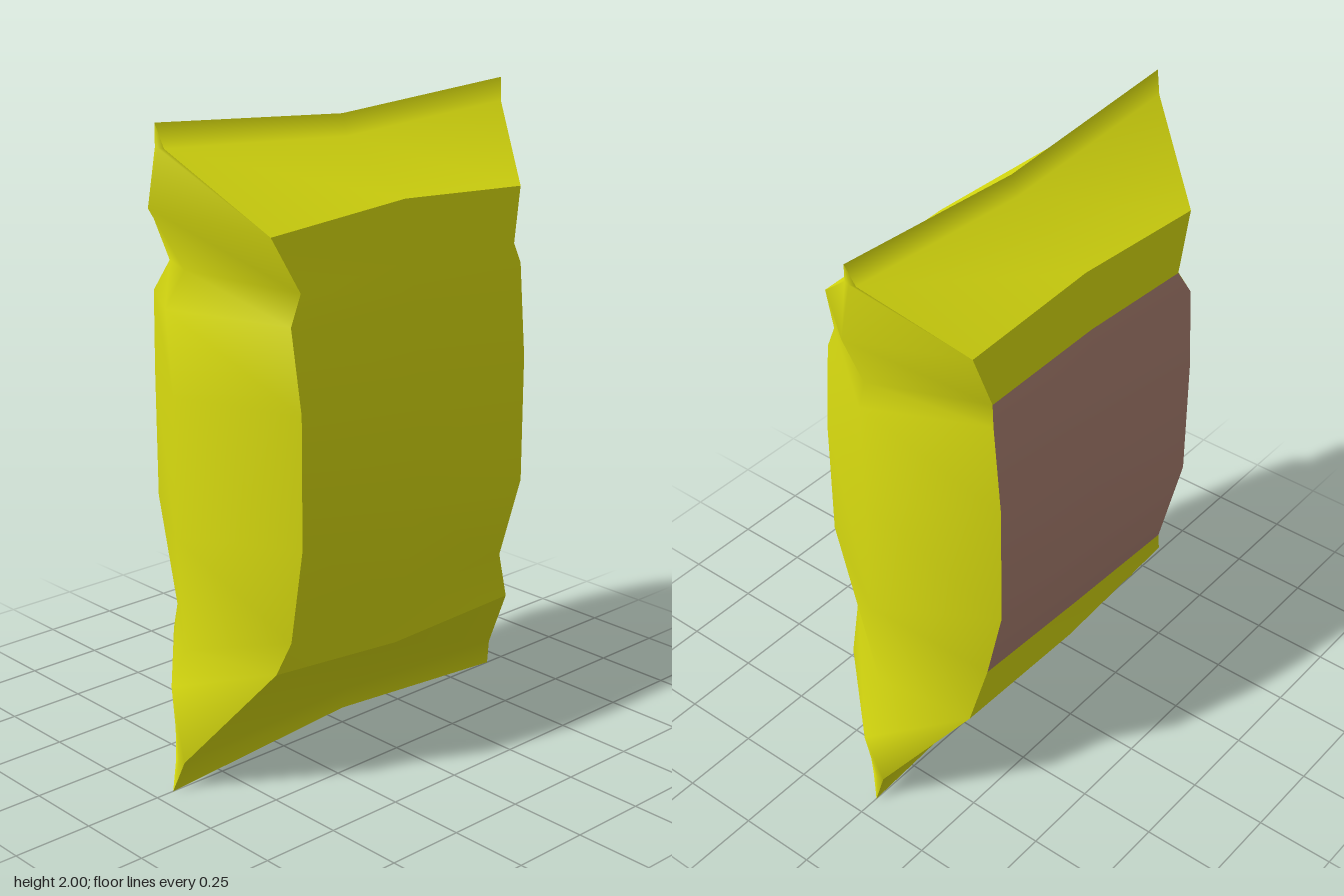
import * as THREE from 'three';

// Rows run from the top seam to the bottom seam.
// Each list gives [x, y] for one vertical line of the bag.
const rightEdge = [[-0.69, 2], [-0.68, 1.93], [-0.72, 1.77], [-0.6, 1.58], [-0.67, 1.48], [-0.65, 1.22],
  [-0.655, 0.8], [-0.63, 0.44], [-0.685, 0.34], [-0.665, 0.09], [-0.69, 0]];
const rightPanel = [[-0.69, 2], [-0.675, 1.93], [-0.51, 1.7], [-0.425, 1.535], [-0.475, 1.45], [-0.46, 1.2],
  [-0.46, 0.8], [-0.445, 0.49], [-0.485, 0.395], [-0.66, 0.09], [-0.69, 0]];
const middle = [1.955, 1.89, 1.74, 1.56, 1.47, 1.2, 0.81, 0.51, 0.355, 0.125, 0.05].map(y => [0, y]);
const leftPanel = [[0.68, 2], [0.66, 1.93], [0.49, 1.715], [0.44, 1.55], [0.455, 1.49], [0.455, 1.2],
  [0.455, 0.8], [0.44, 0.535], [0.5, 0.37], [0.665, 0.09], [0.68, 0]];
const leftEdge = [[0.68, 2], [0.665, 1.93], [0.705, 1.78], [0.63, 1.6], [0.655, 1.53], [0.655, 1.2],
  [0.655, 0.8], [0.635, 0.49], [0.715, 0.305], [0.67, 0.09], [0.68, 0]];

// Half thickness of the bag at each row
const depth = [0, 0.02, 0.265, 0.29, 0.305, 0.33, 0.33, 0.262, 0.24, 0.02, 0];

// Columns: a line of points and the side it lies on (+1 front, -1 back, 0 edge)
const front = [[rightPanel, 1], [middle, 1], [leftPanel, 1]];
const back = [[leftPanel, -1], [middle, -1], [rightPanel, -1]];
const leftWall = [[leftPanel, 1], [leftEdge, 0], [leftPanel, -1]];
const rightWall = [[rightPanel, -1], [rightEdge, 0], [rightPanel, 1]];

// Smooth patch between two rows, spanning the given columns
function patch(columns, first, last) {
  const positions = [], index = [], n = columns.length;
  for (let r = first; r <= last; r++) {
    for (const [line, side] of columns) positions.push(line[r][0], line[r][1], side * depth[r]);
  }
  for (let r = 0; r < last - first; r++) {
    for (let c = 0; c < n - 1; c++) {
      const a = r * n + c, b = a + n;
      index.push(a, b, b + 1, a, b + 1, a + 1);
    }
  }
  const geometry = new THREE.BufferGeometry();
  geometry.setAttribute('position', new THREE.Float32BufferAttribute(positions, 3));
  geometry.setIndex(index);
  geometry.computeVertexNormals();
  return geometry;
}

export function createModel() {
  const bag = new THREE.Group();
  bag.name = 'snackBag';
  const foil = new THREE.MeshStandardMaterial({ color: 0xdde010, side: THREE.DoubleSide });
  const label = new THREE.MeshStandardMaterial({ color: 0xb08474, side: THREE.DoubleSide });

  const add = (name, columns, first, last, material = foil) => {
    const mesh = new THREE.Mesh(patch(columns, first, last), material);
    mesh.name = name;
    bag.add(mesh);
  };

  // Sealed ends, sloping from the flat seam to the panels
  for (const [name, columns] of [['front', front], ['back', back]]) {
    add(name + 'TopFlap', columns, 0, 2);
    add(name + 'BottomFlap', columns, 8, 10);
  }

  // Pinched side walls
  add('leftWall', leftWall, 0, 10);
  add('rightWall', rightWall, 0, 10);

  // Bulging front, and back with a coloured label area
  add('frontPanel', front, 2, 8);
  add('backUpperPanel', back, 2, 3);
  add('backLabel', back, 3, 7, label);
  add('backLowerPanel', back, 7, 8);

  return bag;
}
